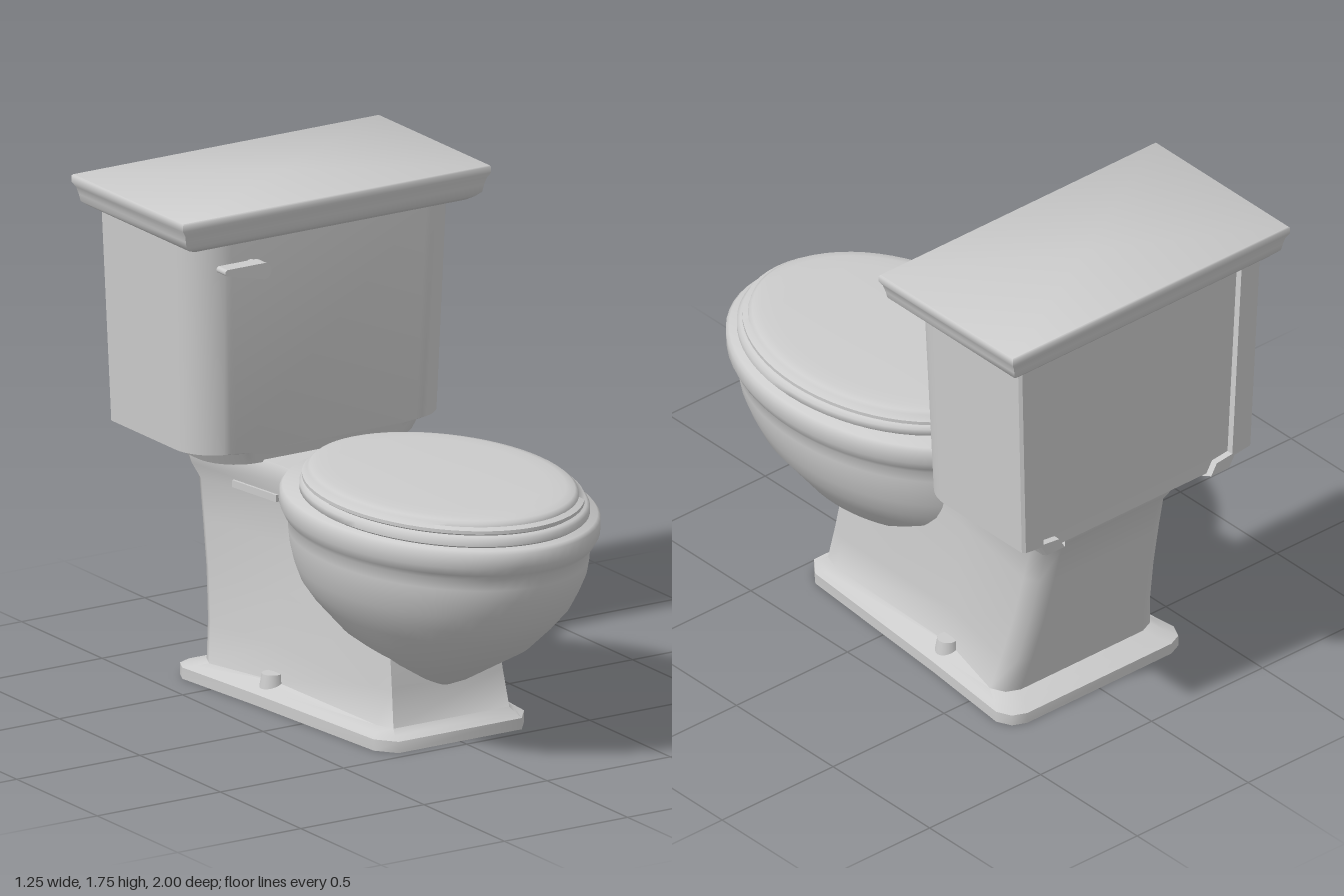
import * as THREE from 'three';
import { toCreasedNormals } from 'three/addons/utils/BufferGeometryUtils.js';

const material = new THREE.MeshStandardMaterial({ color: 0xcccccc });

// Skin a stack of closed rings (bottom to top) and cap both ends
function loft(rings, crease = 0.9) {
  const n = rings[0].length, pos = [], index = [];
  rings.forEach(r => r.forEach(p => pos.push(...p)));
  for (let i = 0; i < rings.length - 1; i++) {
    for (let j = 0; j < n; j++) {
      const a = i * n + j, b = i * n + (j + 1) % n;
      index.push(a, a + n, b, b, a + n, b + n);
    }
  }
  [0, rings.length - 1].forEach((i, top) => {
    const center = pos.length / 3;
    const mid = rings[i].reduce((s, p) => [s[0] + p[0] / n, s[1] + p[1] / n, s[2] + p[2] / n], [0, 0, 0]);
    pos.push(...mid);
    for (let j = 0; j < n; j++) {
      const a = i * n + j, b = i * n + (j + 1) % n;
      if (top) index.push(center, b, a);
      else index.push(center, a, b);
    }
  });
  const g = new THREE.BufferGeometry();
  g.setAttribute('position', new THREE.Float32BufferAttribute(pos, 3));
  g.setIndex(index);
  return toCreasedNormals(g, crease);
}

// Complete a ring from its right half, listed back to front as [x, z]
function mirrorRing(y, half) {
  return [...half, ...half.map(([x, z]) => [-x, z]).reverse()].map(([x, z]) => [x, y, z]);
}

// Oval ring: half width, front z and back z
function oval([y, hx, zf, zb], n = 64) {
  return Array.from({ length: n }, (_, j) => {
    const t = j / n * Math.PI * 2;
    return [hx * Math.cos(t), y, (zf + zb) / 2 + (zf - zb) / 2 * Math.sin(t)];
  });
}

// Tank ring: wide rounded front corners, back panel set in between two flat ribs
function tankRing([y, hx, zf, zb]) {
  const r = 0.15, half = [[hx - 0.09, zb + 0.025], [hx - 0.09, zb], [hx - 0.01, zb], [hx, zb + 0.01]];
  for (let k = 0; k <= 10; k++) {
    const t = k / 10 * Math.PI / 2;
    half.push([hx - r + r * Math.cos(t), zf - r + r * Math.sin(t)]);
  }
  return mirrorRing(y, half);
}

// Plain rectangle ring
function rect([y, hx, zf, zb]) {
  return mirrorRing(y, [[hx, zb], [hx, zf]]);
}

// Pedestal ring: half widths at the front edge, front side, middle and rear
function footprint([y, hFront, hSide, hMid, hRear, zf, zb]) {
  return mirrorRing(y, [
    [hRear - 0.075, zb], [hRear - 0.025, zb + 0.022], [hRear, zb + 0.075],
    [hMid, -0.28], [hSide, zf - 0.07], [hFront, zf],
  ]);
}

export function createModel() {
  const model = new THREE.Group();
  const add = (name, geometry, x = 0, y = 0, z = 0) => {
    const mesh = new THREE.Mesh(geometry, material);
    mesh.name = name;
    mesh.position.set(x, y, z);
    model.add(mesh);
    return mesh;
  };

  // Pedestal with foot plate and rear deck
  add('pedestal', loft([
    [0, 0.25, 0.305, 0.36, 0.40, 0.46, -0.73],
    [0.04, 0.25, 0.305, 0.36, 0.40, 0.46, -0.73],
    [0.052, 0.245, 0.28, 0.33, 0.375, 0.43, -0.69],
    [0.07, 0.235, 0.26, 0.275, 0.35, 0.405, -0.64],
    [0.20, 0.225, 0.25, 0.26, 0.325, 0.38, -0.67],
    [0.37, 0.215, 0.24, 0.245, 0.305, 0.35, -0.71],
    [0.55, 0.21, 0.23, 0.235, 0.295, 0.30, -0.75],
    [0.68, 0.21, 0.23, 0.235, 0.29, 0.20, -0.78],
    [0.73, 0.22, 0.24, 0.245, 0.305, 0.10, -0.815],
    [0.77, 0.22, 0.245, 0.25, 0.31, 0.10, -0.83],
    [0.81, 0.22, 0.245, 0.25, 0.31, 0.10, -0.83],
    [0.828, 0.22, 0.235, 0.24, 0.30, 0.10, -0.815],
  ].map(footprint), 1));

  // Bowl with rolled rim
  add('bowl', loft([
    [0.185, 0.03, 0.39, 0.33], [0.215, 0.09, 0.46, 0.25], [0.28, 0.19, 0.575, 0.10],
    [0.36, 0.29, 0.72, -0.10], [0.45, 0.36, 0.825, -0.23], [0.51, 0.405, 0.88, -0.265],
    [0.57, 0.43, 0.915, -0.285], [0.63, 0.448, 0.945, -0.295], [0.68, 0.455, 0.955, -0.30],
    [0.72, 0.456, 0.958, -0.30], [0.74, 0.472, 0.98, -0.315], [0.77, 0.486, 0.998, -0.33],
    [0.82, 0.487, 1.0, -0.33], [0.832, 0.477, 0.988, -0.32],
  ].map(r => oval(r))));

  // Seat and cover
  add('seat', loft([
    [0.83, 0.435, 0.945, -0.22], [0.838, 0.445, 0.957, -0.23],
    [0.86, 0.445, 0.957, -0.23], [0.87, 0.435, 0.945, -0.22],
  ].map(r => oval(r))));
  add('seatCover', loft([
    [0.868, 0.418, 0.925, -0.215], [0.876, 0.43, 0.938, -0.228], [0.888, 0.43, 0.938, -0.228],
    [0.896, 0.415, 0.915, -0.215], [0.906, 0.412, 0.912, -0.21], [0.914, 0.402, 0.90, -0.20],
    [0.919, 0.375, 0.865, -0.175], [0.922, 0.32, 0.78, -0.11],
  ].map(r => oval(r))));

  // Tank on a narrower base
  add('tank', loft([
    [0.82, 0.42, -0.375, -0.93], [0.862, 0.445, -0.37, -0.93],
    [0.87, 0.515, -0.37, -0.93], [1.64, 0.545, -0.355, -0.945],
  ].map(tankRing), 0.7));

  // Tank lid with moulded edge
  add('tankLid', loft([
    [1.625, 0.55, -0.345, -0.955], [1.635, 0.58, -0.335, -0.965], [1.65, 0.60, -0.322, -0.98],
    [1.675, 0.605, -0.318, -0.985], [1.70, 0.612, -0.312, -0.99], [1.718, 0.625, -0.305, -1.0],
    [1.74, 0.625, -0.305, -1.0], [1.745, 0.62, -0.31, -0.995],
  ].map(rect)));

  // Flush lever: teardrop paddle on a short stem
  const paddle = new THREE.Shape();
  paddle.moveTo(-0.465, 1.566);
  paddle.lineTo(-0.318, 1.566);
  paddle.absarc(-0.318, 1.537, 0.029, Math.PI / 2, -Math.PI / 2, true);
  paddle.lineTo(-0.465, 1.543);
  paddle.absarc(-0.465, 1.5545, 0.0115, -Math.PI / 2, -Math.PI * 1.5, true);
  add('flushLever', new THREE.ExtrudeGeometry(paddle, { depth: 0.055, bevelEnabled: false }), 0, 0, -0.325);
  add('leverStem', new THREE.CylinderGeometry(0.02, 0.02, 0.06, 16), -0.318, 1.538, -0.345).rotation.x = Math.PI / 2;

  // Mirrored bolt caps on the foot plate and slots under the deck
  for (const [side, s] of [['left', 1], ['right', -1]]) {
    add(side + 'BoltCap', new THREE.CylinderGeometry(0.036, 0.046, 0.06, 20), s * 0.285, 0.072, -0.272);
    add(side + 'DeckSlot', new THREE.BoxGeometry(0.03, 0.025, 0.23), s * 0.255, 0.71, -0.41).rotation.y = -s * 0.13;
  }
  return model;
}
